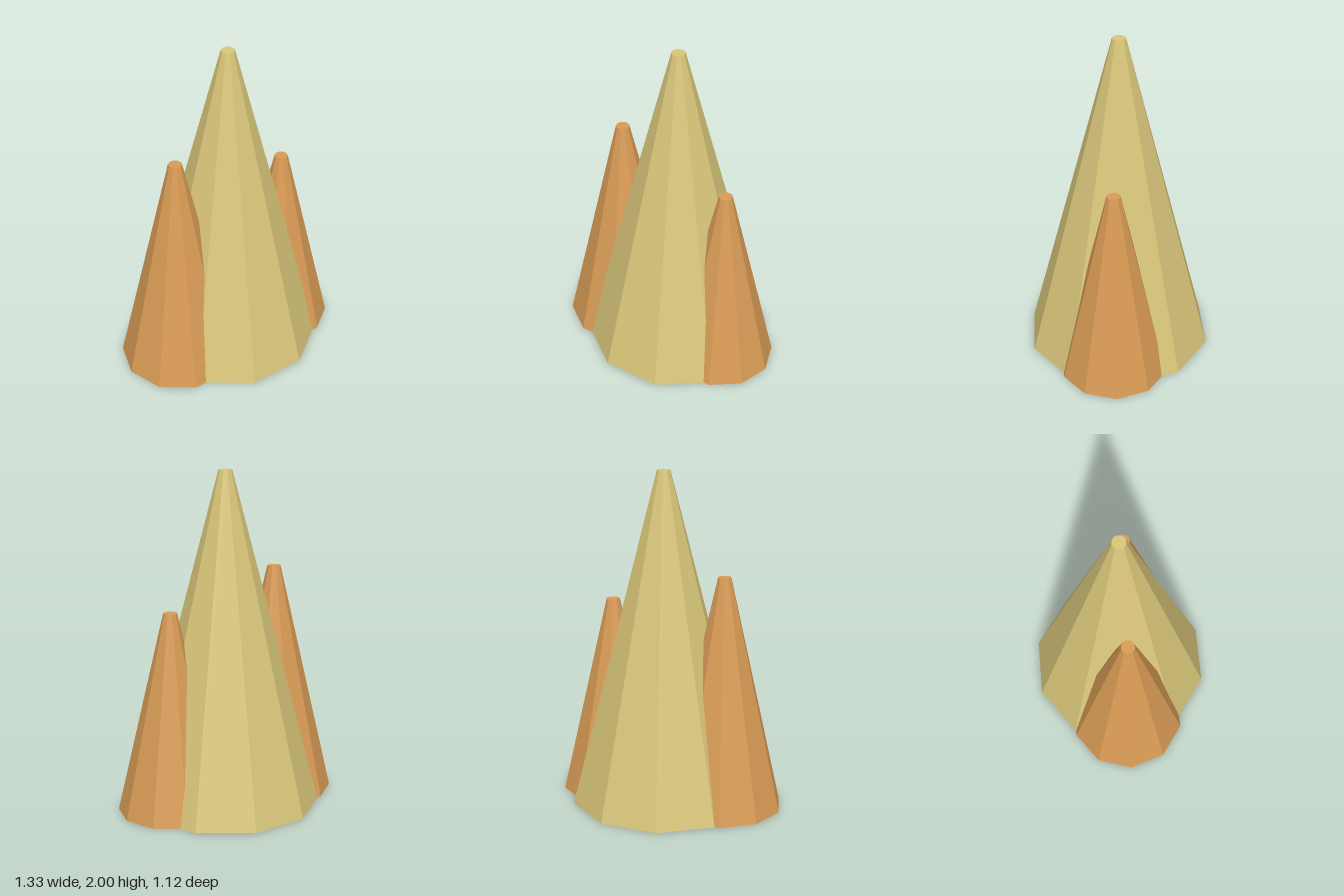
import * as THREE from 'three';

export function createModel() {
  const group = new THREE.Group();
  const sand = new THREE.MeshStandardMaterial({ color: 0xd9c67a });
  sand.name = 'sand yellow';
  const clay = new THREE.MeshStandardMaterial({ color: 0xd89b55 });
  clay.name = 'clay orange';

  // Ten-sided blunt spire standing on the ground, with hard facets
  function addSpire(name, material, x, z, radius, height) {
    const indexed = new THREE.CylinderGeometry(0.04, radius, height, 10);
    const geometry = indexed.toNonIndexed();
    geometry.computeVertexNormals();
    const mesh = new THREE.Mesh(geometry, material);
    mesh.name = name;
    mesh.position.set(x, height / 2, z);
    group.add(mesh);
  }

  addSpire('mainSpire', sand, 0.038, 0, 0.56, 2);
  addSpire('rightSpire', clay, -0.322, -0.1, 0.36, 1.4);
  addSpire('leftSpire', clay, 0.358, 0.16, 0.32, 1.2);

  return group;
}
